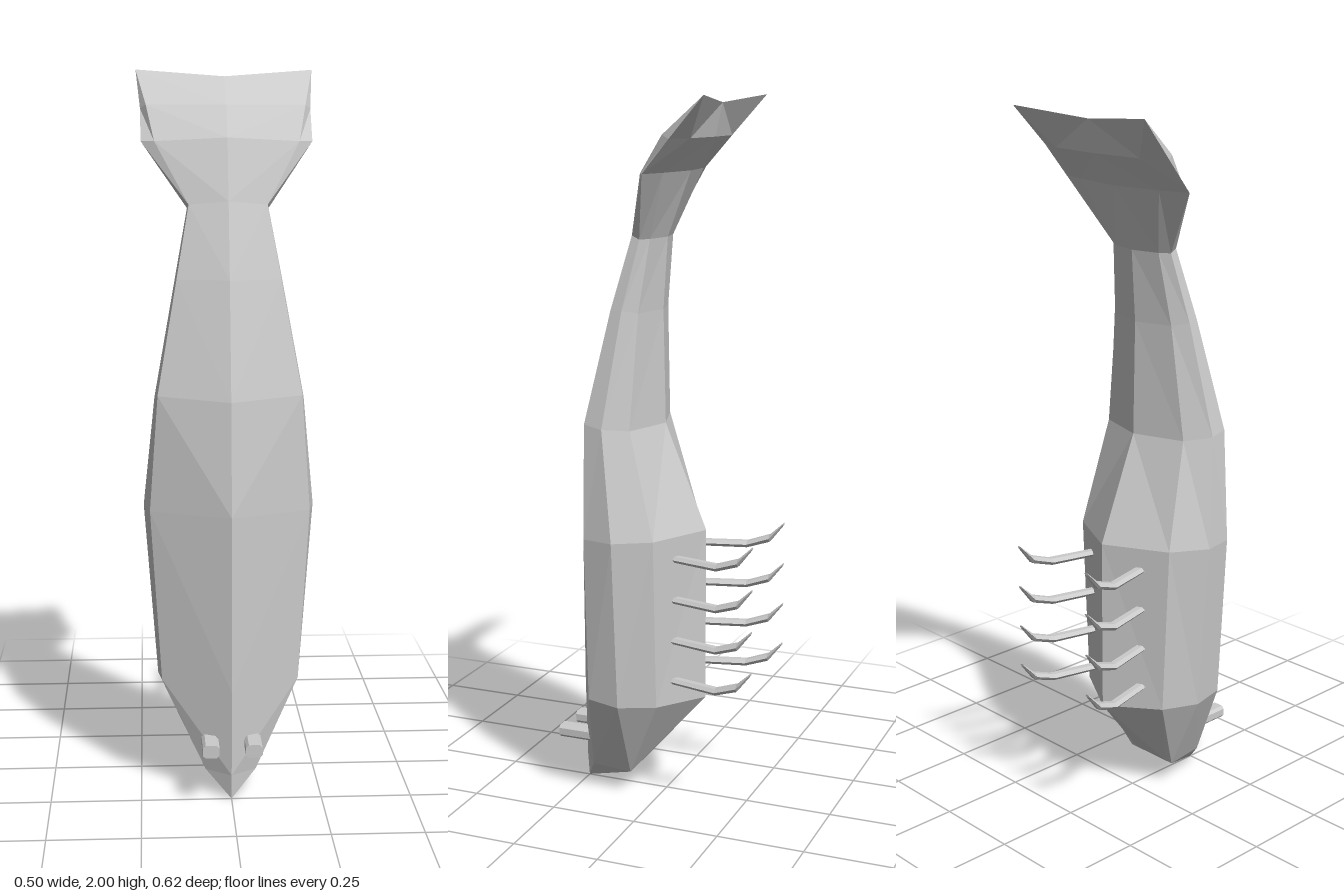
import * as THREE from 'three';

const material = new THREE.MeshStandardMaterial({ color: 0xcccccc, flatShading: true, side: THREE.DoubleSide });

// Skins a list of equal-length rings of [x, y, z]; diagonals mirror across the halves
function loft(rings, name, capped = false) {
  const n = rings[0].length;
  const pos = [];
  const tri = (a, b, c) => {
    const [p, q, r] = [a, b, c].map((v) => new THREE.Vector3(...v));
    if (q.sub(p).cross(r.sub(p)).length() > 1e-8) pos.push(...a, ...b, ...c);
  };
  for (let i = 0; i < rings.length - 1; i++) {
    for (let j = 0; j < n; j++) {
      const k = (j + 1) % n;
      const [a, b, c, d] = [rings[i][j], rings[i][k], rings[i + 1][k], rings[i + 1][j]];
      if (j < n / 2) { tri(a, b, c); tri(a, c, d); }
      else { tri(a, b, d); tri(b, c, d); }
    }
  }
  if (capped) {
    const first = rings[0], last = rings[rings.length - 1];
    for (let j = 1; j < n - 1; j++) {
      tri(first[0], first[j + 1], first[j]);
      tri(last[0], last[j], last[j + 1]);
    }
  }
  const geo = new THREE.BufferGeometry();
  geo.setAttribute('position', new THREE.Float32BufferAttribute(pos, 3));
  geo.computeVertexNormals();
  const mesh = new THREE.Mesh(geo, material);
  mesh.name = name;
  return mesh;
}

// Symmetric body section: front ridge, three side points, back ridge
function section(front, a, b, c, back) {
  const mirror = ([x, y, z]) => [-x, y, z];
  return [[0, ...front], a, b, c, [0, ...back], mirror(c), mirror(b), mirror(a)];
}

function makeBody() {
  const tip = [0, 0, 0.25];
  const corner = [0.25, 2, -0.2];
  return loft([
    section([0, 0.25], tip, tip, tip, [0, 0.25]),
    section([0.07, 0.255], [0.07, 0.07, 0.205], [0.085, 0.07, 0.08], [0.06, 0.07, 0.08], [0.07, 0.08]),
    section([0.31, 0.26], [0.19, 0.32, 0.163], [0.2, 0.31, 0.07], [0.155, 0.31, -0.03], [0.3, -0.12]),
    section([0.8, 0.26], [0.22, 0.8, 0.16], [0.237, 0.8, 0.07], [0.178, 0.8, -0.03], [0.8, -0.12]),
    section([1.11, 0.227], [0.197, 1.12, 0.165], [0.205, 1.11, 0.11], [0.15, 1.1, 0.05], [1.1, 0.003]),
    section([1.43, 0.148], [0.143, 1.43, 0.107], [0.147, 1.43, 0.073], [0.11, 1.42, 0.04], [1.42, 0.01]),
    section([1.64, 0.08], [0.108, 1.63, 0.058], [0.112, 1.62, 0.035], [0.085, 1.62, 0.015], [1.62, -0.003]),
    section([1.81, 0.022], [0.2, 1.8, -0.005], [0.237, 1.8, -0.025], [0.15, 1.8, -0.05], [1.8, -0.07]),
    section([1.9, -0.05], [0.222, 1.9, -0.075], [0.238, 1.89, -0.1], [0.16, 1.89, -0.13], [1.89, -0.14]),
    section([1.98, -0.16], corner, corner, corner, [1.98, -0.16]),
  ], 'body');
}

// Curved tapering leg: each stop is [x, rise, z, half width, half height]
function makeLeg(side, y) {
  const stops = [
    [0.09, 0, -0.04, 0.017, 0.01],
    [0.13, 0, -0.2, 0.017, 0.011],
    [0.136, 0.022, -0.265, 0.016, 0.012],
    [0.138, 0.066, -0.305, 0.008, 0.004],
  ];
  const rings = stops.map(([x, rise, z, w, h]) => Array.from({ length: 6 }, (_, i) => {
    const t = ((i + 0.5) / 6) * Math.PI * 2;
    return [side * x + Math.sin(t) * w, y + rise + Math.cos(t) * h, z];
  }));
  return loft(rings, side > 0 ? 'leftLeg' : 'rightLeg', true);
}

// Short stalk eye with bevelled corners
function makeEye(side) {
  const w = 0.023, h = 0.018, b = 0.008;
  const shape = new THREE.Shape([
    [-w + b, -h], [w - b, -h], [w, -h + b], [w, h - b],
    [w - b, h], [-w + b, h], [-w, h - b], [-w, -h + b],
  ].map(([x, y]) => new THREE.Vector2(x, y)));
  const geo = new THREE.ExtrudeGeometry(shape, { depth: 0.11, bevelEnabled: false });
  const eye = new THREE.Mesh(geo, material);
  eye.position.set(side * 0.059, 0.16, 0.2);
  eye.name = side > 0 ? 'leftEye' : 'rightEye';
  return eye;
}

export function createModel() {
  const model = new THREE.Group();
  model.name = 'crustacean';
  model.add(makeBody());

  const legs = new THREE.Group();
  legs.name = 'legs';
  for (const side of [-1, 1]) {
    model.add(makeEye(side));
    for (let i = 0; i < 4; i++) legs.add(makeLeg(side, 0.375 + i * 0.12));
  }
  model.add(legs);
  return model;
}
